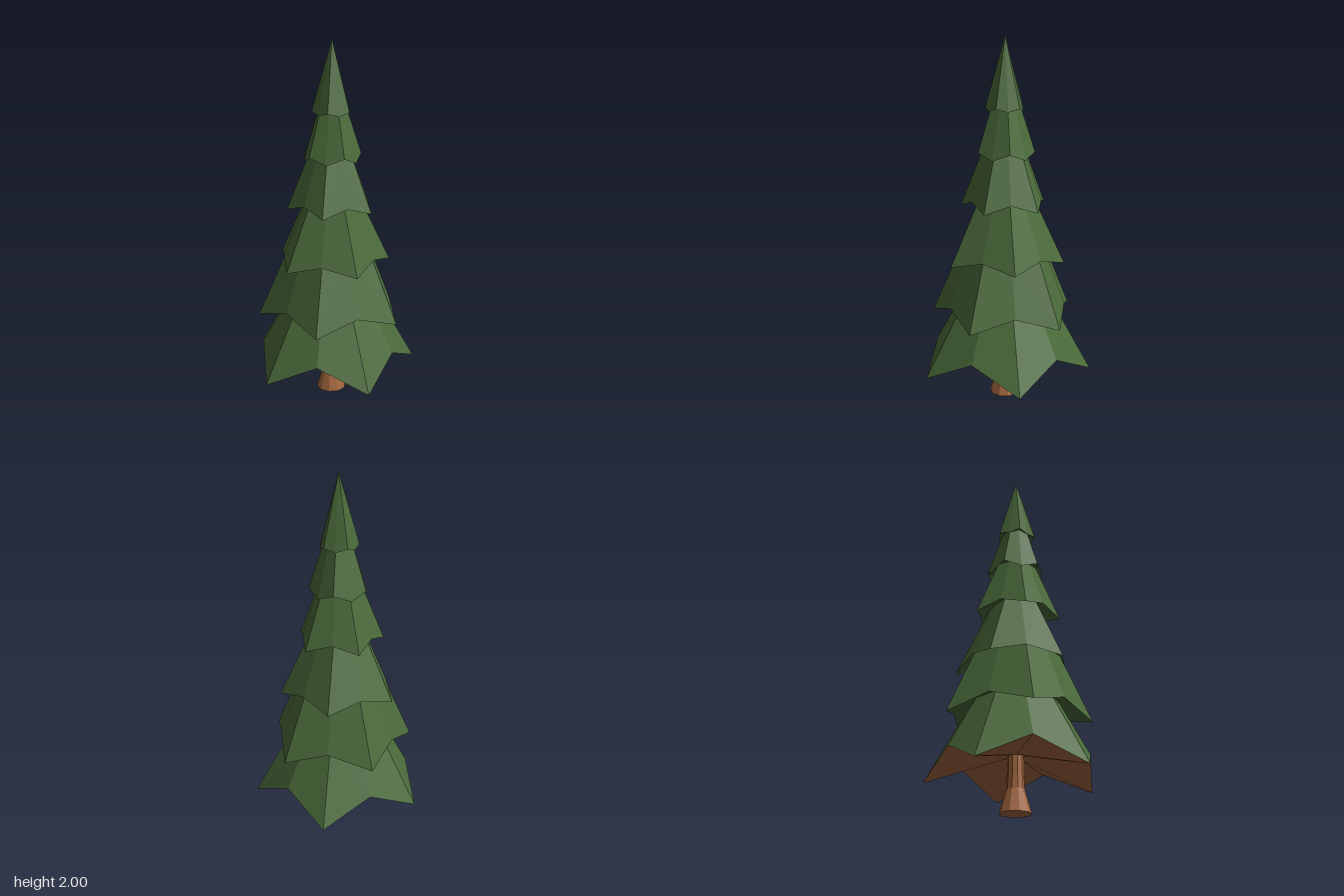
import * as THREE from 'three';

const SIDES = 10;
const PHASE = THREE.MathUtils.degToRad(93.3);

// Ring of points; even corners use (r0, y0), odd corners use (r1, y1)
function ring(r0, y0, r1 = r0, y1 = y0) {
  return Array.from({ length: SIDES }, (_, k) => {
    const a = PHASE + (k * 2 * Math.PI) / SIDES;
    const [r, y] = k % 2 ? [r1, y1] : [r0, y0];
    return [r * Math.cos(a), y, r * Math.sin(a)];
  });
}

// Slide every rim point straight towards a point on the axis, up to height y
function collarOf(rim, apexY, y) {
  return rim.map(([px, py, pz]) => {
    const s = (apexY - y) / (apexY - py);
    return [px * s, y, pz * s];
  });
}

// Facets joining consecutive rings, diagonals mirrored about each ridge
function loft(rings) {
  const pos = [];
  for (let i = 0; i < rings.length - 1; i++) {
    for (let k = 0; k < SIDES; k++) {
      const n = (k + 1) % SIDES;
      const a = rings[i][k], b = rings[i][n], c = rings[i + 1][n], d = rings[i + 1][k];
      const tris = k % 2 ? [a, d, c, a, c, b] : [a, d, b, b, d, c];
      tris.forEach((p) => pos.push(...p));
    }
  }
  const g = new THREE.BufferGeometry();
  g.setAttribute('position', new THREE.Float32BufferAttribute(pos, 3));
  g.computeVertexNormals();
  return g;
}

export function createModel() {
  const green = new THREE.MeshStandardMaterial({ color: 0x4a6a3a, flatShading: true });
  const brown = new THREE.MeshStandardMaterial({ color: 0xa5683f, flatShading: true });
  const tree = new THREE.Group();
  tree.name = 'pineTree';
  const add = (name, geometry, material) => {
    const m = new THREE.Mesh(geometry, material);
    m.name = name;
    m.position.set(0.007, 0, -0.036);
    tree.add(m);
  };

  // Flared trunk
  const profile = [[0, 0], [0.084, 0], [0.049, 0.125], [0.044, 0.2], [0.043, 0.33]];
  add('trunk', new THREE.LatheGeometry(profile.map((p) => new THREE.Vector2(...p)), SIDES), brown);

  // Star-shaped rim of each branch tier, the height its slopes aim at, and where they stop
  const tiers = [
    { rim: ring(0.482, 0.17, 0.39, 0.3), apexY: 1.02, topY: 0.58 },
    { rim: ring(0.332, 0.547, 0.41, 0.475), apexY: 1.415, topY: 0.86 },
    { rim: ring(0.328, 0.78, 0.265, 0.825), apexY: 1.47, topY: 1.15 },
    { rim: ring(0.199, 1.128, 0.246, 1.085), apexY: 1.7, topY: 1.41 },
    { rim: ring(0.162, 1.39, 0.151, 1.355), apexY: 1.885, topY: 1.635 },
    { rim: ring(0.097, 1.605, 0.108, 1.623), apexY: 2, topY: 2 },
  ];

  // Brown underside of the lowest branches
  add('branchUnderside', loft([ring(0.04, 0.3), tiers[0].rim]), brown);

  // Branch tiers: underside, rim, slope
  let below = [];
  tiers.forEach(({ rim, apexY, topY }, i) => {
    const collar = collarOf(rim, apexY, topY);
    add('branchTier' + (i + 1), loft([...below, rim, collar]), green);
    below = [collar];
  });
  return tree;
}
